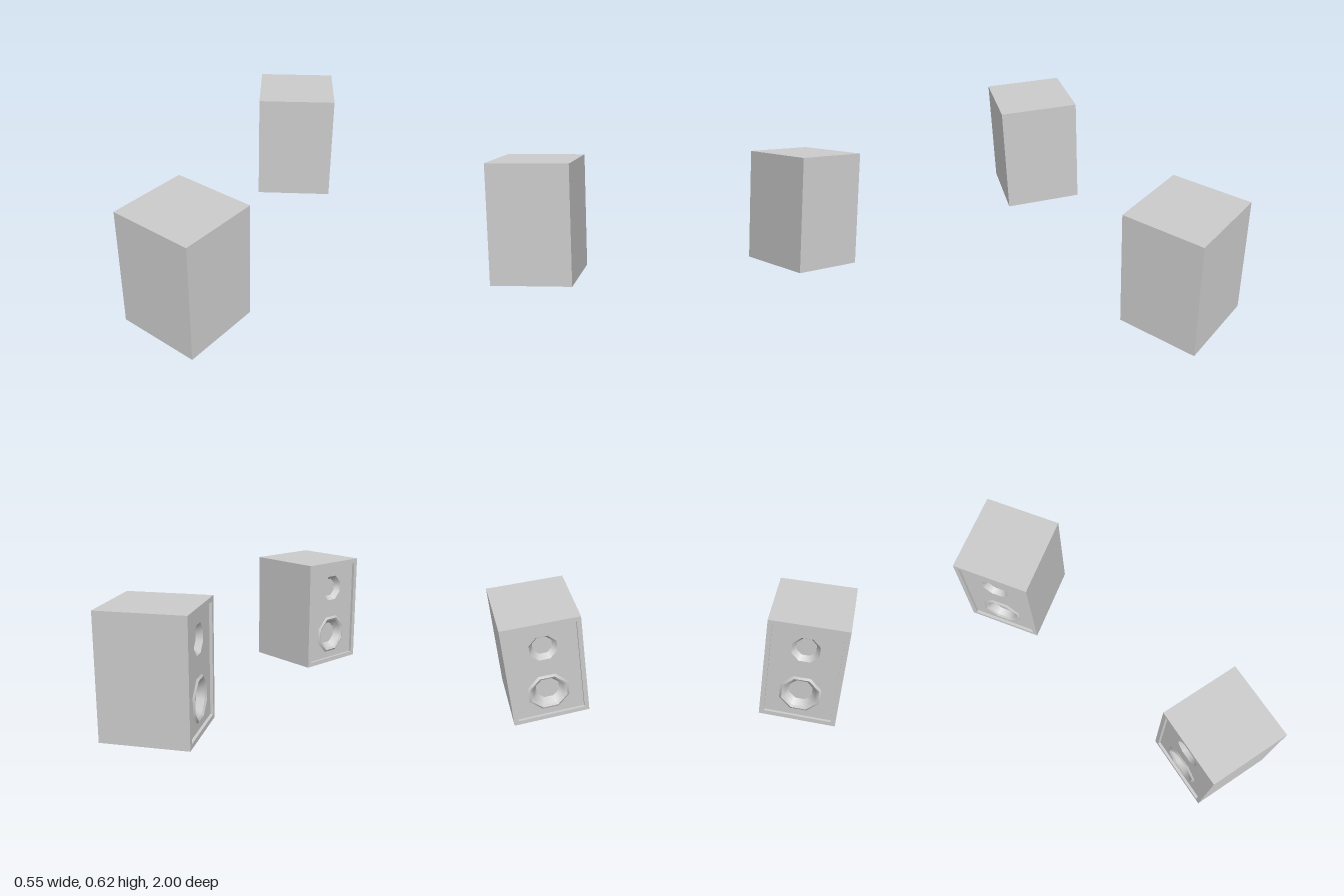
import * as THREE from 'three';
import { mergeGeometries } from 'three/addons/utils/BufferGeometryUtils.js';

const W = 0.416, H = 0.618, D = 0.434; // cabinet size
const BORDER = 0.025, RECESS = 0.015; // front frame
const SIDES = 8;

// Profiles run from rim to centre as [radius, height above the baffle].
const DRIVERS = [
  { name: 'tweeter', y: 0.458, profile: [[0.078, 0], [0.055, -0.03], [0, -0.03]] },
  { name: 'woofer', y: 0.172, profile: [[0.118, 0], [0.105, 0.008], [0.092, 0], [0.066, -0.035], [0, -0.035]] },
];

const solid = new THREE.MeshStandardMaterial({ color: 0xcccccc });
const thin = new THREE.MeshStandardMaterial({ color: 0xcccccc, side: THREE.DoubleSide });

function part(name, geometry, material) {
  const mesh = new THREE.Mesh(geometry, material);
  mesh.name = name;
  return mesh;
}

function rectPoints(w, h) {
  return [[-w, -h], [w, -h], [w, h], [-w, h]].map(([x, y]) => new THREE.Vector2(x / 2, y / 2));
}

function polygonPoints(r, cy) {
  return Array.from({ length: SIDES }, (_, i) => {
    const a = ((i + 0.5) / SIDES) * Math.PI * 2;
    return new THREE.Vector2(r * Math.cos(a), cy + r * Math.sin(a));
  });
}

// A box reduced to some of its six sides (+x, -x, +y, -y, +z, -z)
function boxSides(w, h, d, sides) {
  const g = new THREE.BoxGeometry(w, h, d);
  const index = Array.from(g.index.array);
  g.setIndex(sides.flatMap((s) => index.slice(s * 6, s * 6 + 6)));
  g.clearGroups();
  return g;
}

// One lathe per profile step: smooth around, sharp between the rings
function driverGeometry(profile) {
  const rings = profile.slice(1).map((p, i) => new THREE.LatheGeometry(
    [new THREE.Vector2(...profile[i]), new THREE.Vector2(...p)], SIDES, Math.PI / SIDES));
  return mergeGeometries(rings).rotateX(Math.PI / 2);
}

function createSpeaker(name) {
  const speaker = new THREE.Group();
  speaker.name = name;
  const iw = W - 2 * BORDER, ih = H - 2 * BORDER;

  // Cabinet, open at the front
  const cabinet = part('cabinet', boxSides(W, H, D, [0, 1, 2, 3, 5]), solid);
  cabinet.position.y = H / 2;

  // Front frame and the walls stepping back to the baffle
  const frameShape = new THREE.Shape(rectPoints(W, H));
  frameShape.holes.push(new THREE.Path(rectPoints(iw, ih)));
  const frame = part('frontFrame', new THREE.ShapeGeometry(frameShape), solid);
  frame.position.set(0, H / 2, D / 2);
  const lip = part('frameLip', boxSides(iw, ih, RECESS, [0, 1, 2, 3]), thin);
  lip.position.set(0, H / 2, D / 2 - RECESS / 2);

  // Baffle with an opening for each driver
  const baffleShape = new THREE.Shape(rectPoints(iw, ih));
  for (const { y, profile } of DRIVERS) {
    baffleShape.holes.push(new THREE.Path(polygonPoints(profile[0][0], y - H / 2)));
  }
  const baffle = part('baffle', new THREE.ShapeGeometry(baffleShape), solid);
  baffle.position.set(0, H / 2, D / 2 - RECESS);
  speaker.add(cabinet, frame, lip, baffle);

  // Drivers
  for (const { name: driverName, y, profile } of DRIVERS) {
    const driver = part(driverName, driverGeometry(profile), thin);
    driver.position.set(0, y, D / 2 - RECESS);
    speaker.add(driver);
  }
  return speaker;
}

export function createModel() {
  const model = new THREE.Group();
  model.name = 'speakerPair';
  // Both speakers face -x and are turned in towards one listening point
  const placements = [
    ['rearSpeaker', -0.001, -0.728, -69.2],
    ['frontSpeaker', 0.012, 0.742, -104.8],
  ];
  for (const [name, x, z, degrees] of placements) {
    const speaker = createSpeaker(name);
    speaker.position.set(x, 0, z);
    speaker.rotation.y = THREE.MathUtils.degToRad(degrees);
    model.add(speaker);
  }
  return model;
}
